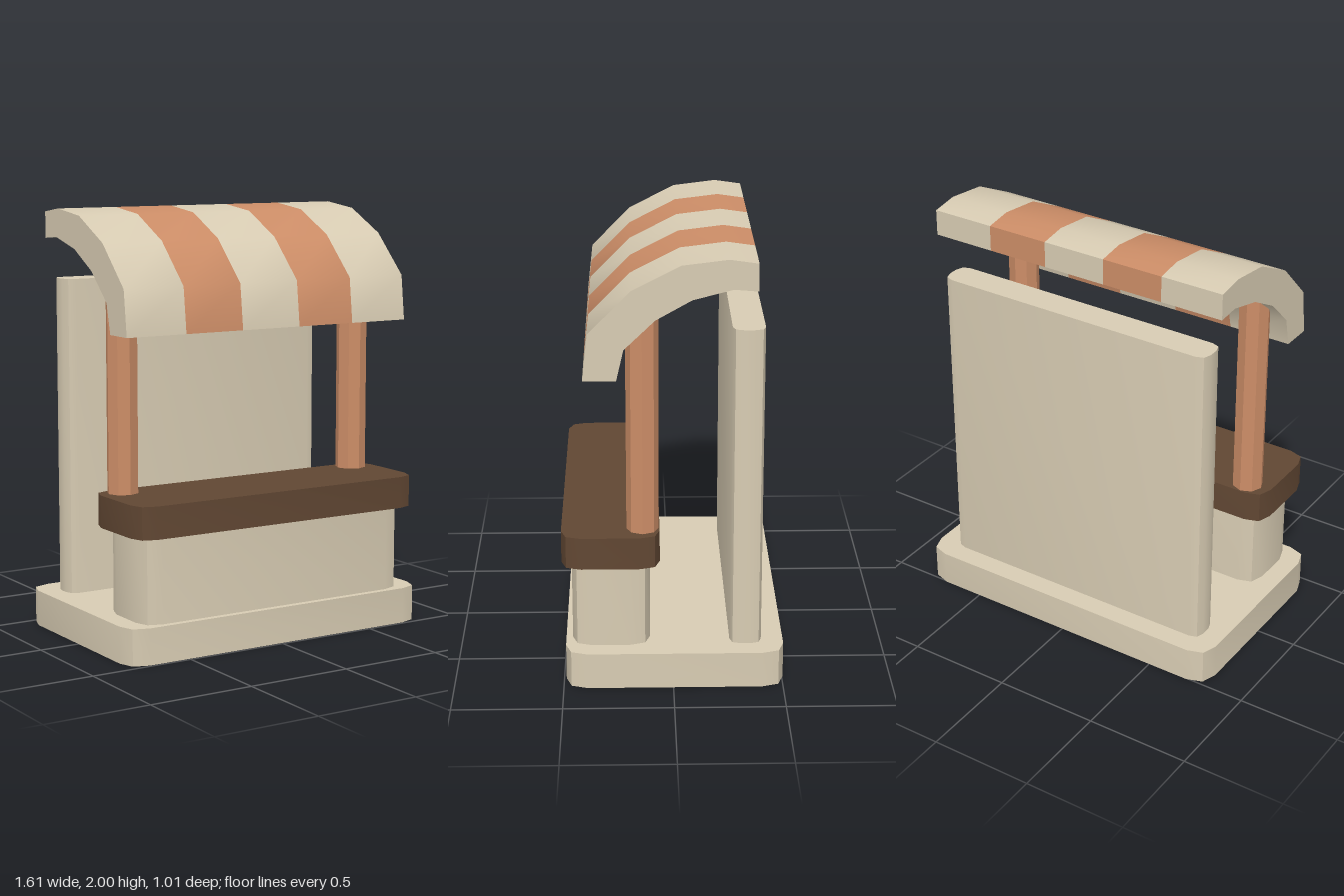
import * as THREE from 'three';
import { toCreasedNormals } from 'three/addons/utils/BufferGeometryUtils.js';

const CREASE = THREE.MathUtils.degToRad(40);

function paint(name, color) {
  const material = new THREE.MeshStandardMaterial({ color });
  material.name = name;
  return material;
}

function makeMesh(name, geometry, material) {
  const mesh = new THREE.Mesh(toCreasedNormals(geometry, CREASE), material);
  mesh.name = name;
  return mesh;
}

// Upright slab with a rounded plan: half width, z range, y range, corner radius
function roundedSlab(name, hw, z0, z1, y0, y1, r, material) {
  const hd = (z1 - z0) / 2;
  const s = new THREE.Shape();
  s.moveTo(-hw + r, -hd);
  s.lineTo(hw - r, -hd);
  s.quadraticCurveTo(hw, -hd, hw, -hd + r);
  s.lineTo(hw, hd - r);
  s.quadraticCurveTo(hw, hd, hw - r, hd);
  s.lineTo(-hw + r, hd);
  s.quadraticCurveTo(-hw, hd, -hw, hd - r);
  s.lineTo(-hw, -hd + r);
  s.quadraticCurveTo(-hw, -hd, -hw + r, -hd);
  const geometry = new THREE.ExtrudeGeometry(s, { depth: y1 - y0, bevelEnabled: false, curveSegments: 2 });
  geometry.rotateX(-Math.PI / 2);
  geometry.translate(0, y0, (z0 + z1) / 2);
  return makeMesh(name, geometry, material);
}

export function createModel() {
  const cream = paint('cream', 0xd8ccb3);
  const terracotta = paint('terracotta', 0xcc8d67);
  const darkWood = paint('dark wood', 0x614733);
  const model = new THREE.Group();
  model.name = 'marketStall';

  // Plinth, counter and back wall
  model.add(
    roundedSlab('base', 0.805, -0.505, 0.49, 0, 0.17, 0.1, cream),
    roundedSlab('counterBody', 0.71, 0.105, 0.46, 0.17, 0.57, 0.09, cream),
    roundedSlab('counterTop', 0.76, 0.06, 0.505, 0.57, 0.72, 0.09, darkWood),
    roundedSlab('backWall', 0.705, -0.405, -0.26, 0.17, 1.67, 0.05, cream),
  );

  // Octagonal posts rising from the counter into the awning
  for (const side of [-1, 1]) {
    const geometry = new THREE.CylinderGeometry(0.073, 0.073, 1.1, 8);
    geometry.translate(side * 0.64, 1.25, 0.137);
    model.add(makeMesh(side > 0 ? 'leftPost' : 'rightPost', geometry, terracotta));
  }

  // Curved awning profile in (z, y), cut into striped slices along x
  const profile = new THREE.Shape([
    [0.397, 1.46], [0.373, 1.672], [0.185, 1.863], [-0.033, 1.975], [-0.238, 2.0], [-0.365, 1.982],
    [-0.365, 1.859], [-0.258, 1.868], [-0.08, 1.822], [0.08, 1.732], [0.217, 1.6], [0.249, 1.46],
  ].map(([z, y]) => new THREE.Vector2(z, y)));
  const cuts = [-0.76, -0.455, -0.155, 0.155, 0.455, 0.76];
  const awning = new THREE.Group();
  awning.name = 'awning';
  for (let i = 0; i < 5; i++) {
    const geometry = new THREE.ExtrudeGeometry(profile, { depth: cuts[i + 1] - cuts[i], bevelEnabled: false });
    geometry.rotateY(-Math.PI / 2);
    geometry.translate(cuts[i + 1], 0, 0);
    awning.add(makeMesh(`awningStripe${i + 1}`, geometry, i % 2 ? terracotta : cream));
  }
  model.add(awning);
  return model;
}
